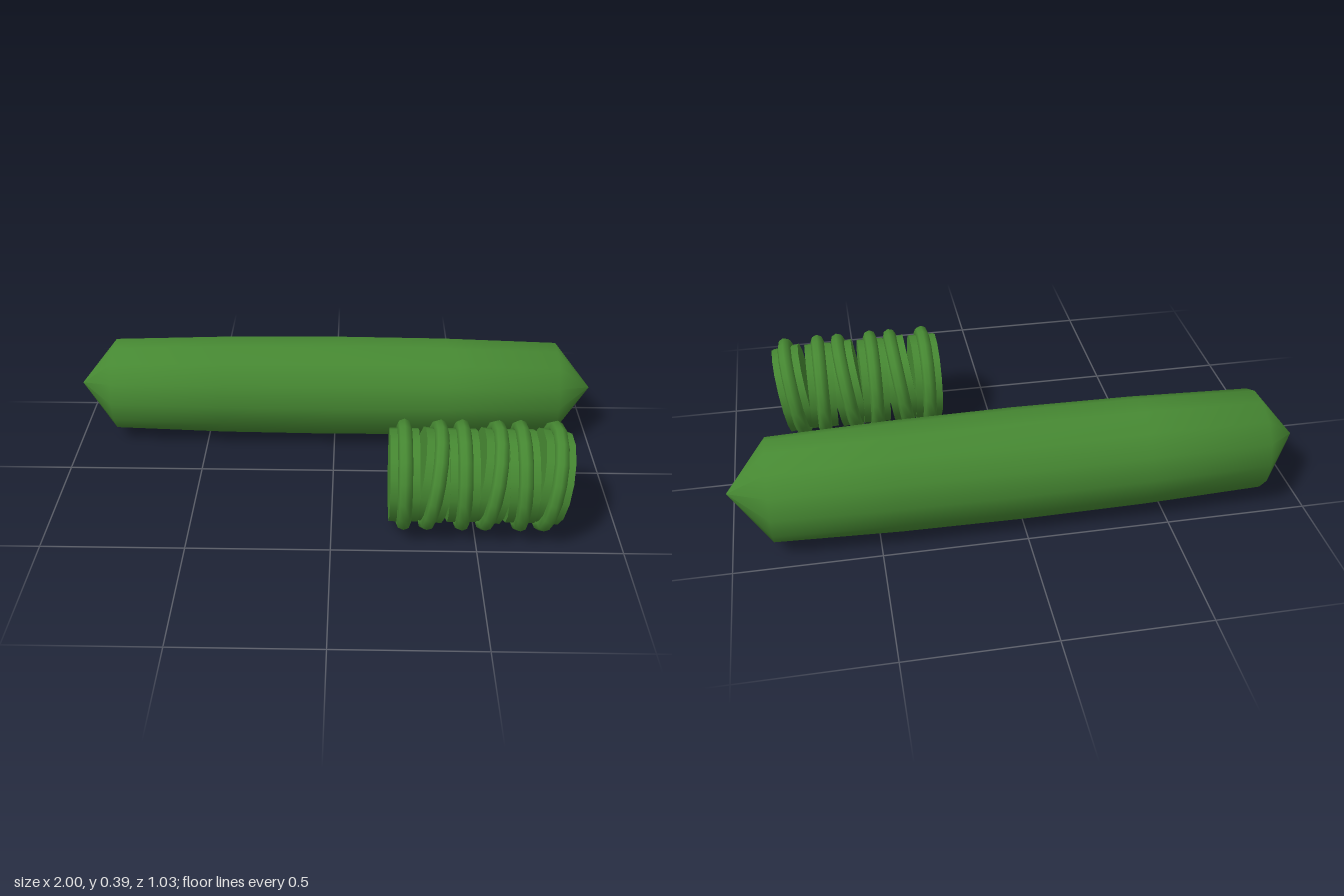
import * as THREE from 'three';

export function createModel() {
  const model = new THREE.Group();
  const green = new THREE.MeshStandardMaterial({ color: 0x468832 });
  green.name = 'green';

  // long body: slightly barrelled, pointed at both ends, lying along x
  const profile = [
    [0, -1], [0.178, -0.857], [0.191, -0.43], [0.195, 0],
    [0.191, 0.43], [0.178, 0.857], [0, 1],
  ].map(([r, h]) => new THREE.Vector2(r, h));
  const body = new THREE.Mesh(new THREE.LatheGeometry(profile, 14), green);
  body.name = 'longBody';
  body.rotation.z = -Math.PI / 2;
  body.position.set(0, 0.2, -0.32);
  model.add(body);

  // short ridged piece: six slices, every second one tilted
  const coreGeo = new THREE.CylinderGeometry(0.163, 0.163, 0.1, 14).rotateZ(-Math.PI / 2);
  const ridgeGeo = new THREE.TorusGeometry(0.17, 0.025, 8, 16).rotateY(Math.PI / 2);
  const ridged = new THREE.Group();
  ridged.name = 'ridgedPiece';
  ridged.position.set(0, 0.2, 0.32);
  for (let i = 0; i < 6; i++) {
    const slice = new THREE.Group();
    slice.name = 'slice' + (i + 1);
    slice.position.x = 0.25 + i * 0.1;
    slice.rotation.z = i % 2 ? -0.15 : 0;
    const core = new THREE.Mesh(coreGeo, green);
    core.name = 'core';
    const ridge = new THREE.Mesh(ridgeGeo, green);
    ridge.name = 'ridge';
    slice.add(core, ridge);
    ridged.add(slice);
  }
  model.add(ridged);
  return model;
}
